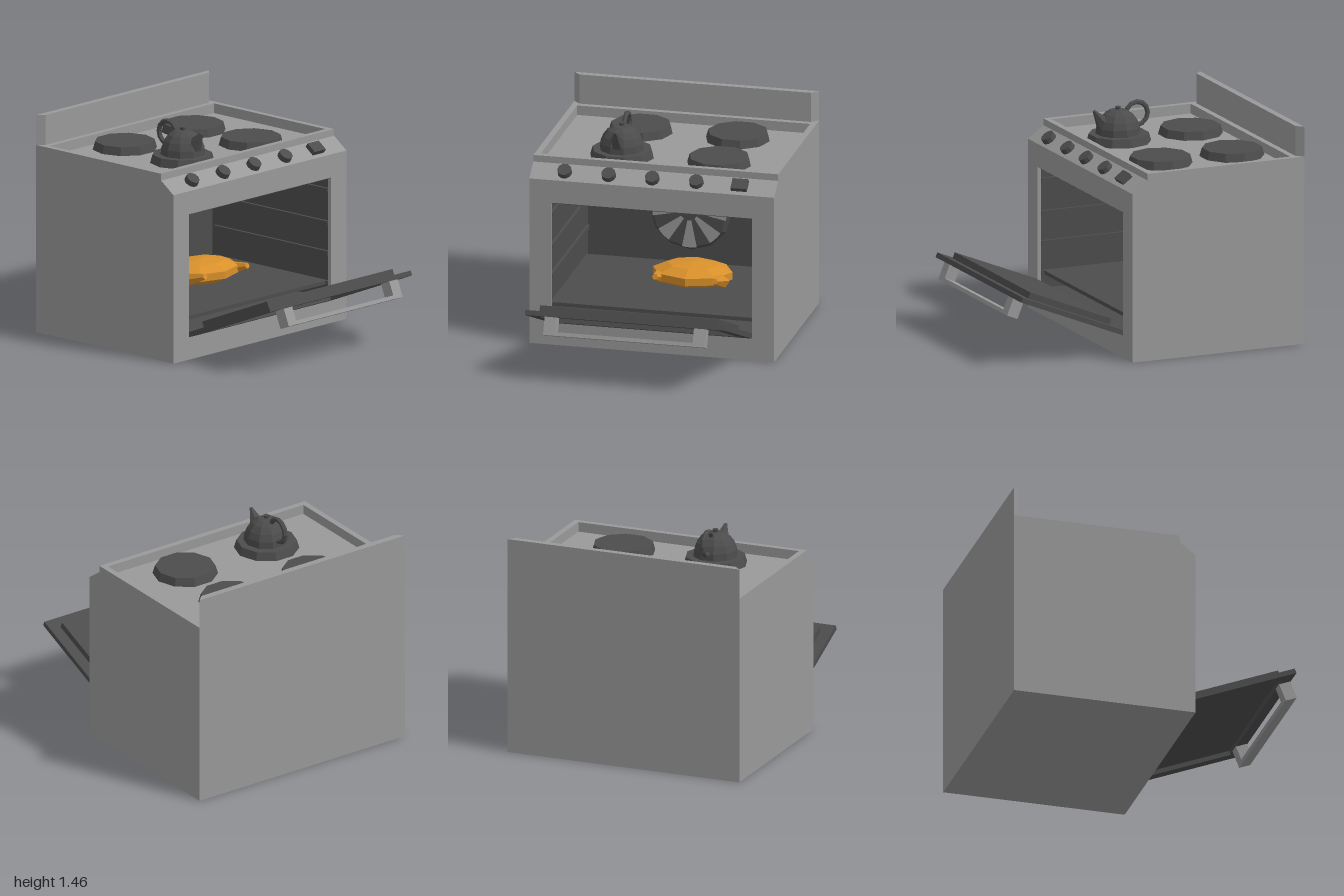
import * as THREE from 'three';

const mat = (color) => new THREE.MeshStandardMaterial({ color });

export function createModel() {
  const root = new THREE.Group();
  const steel = mat(0x999999); steel.name = 'steel grey';
  const dark = mat(0x4c4c4c); dark.name = 'dark grey';
  const roast = mat(0xd9902b); roast.name = 'roast orange';

  // faceted normals for low-poly parts
  const flat = (geo) => {
    const g = geo.index ? geo.toNonIndexed() : geo;
    g.computeVertexNormals();
    return g;
  };
  const add = (name, geo, material, parent = root, pos = [0, 0, 0]) => {
    const m = new THREE.Mesh(geo, material);
    m.name = name;
    m.position.set(...pos);
    parent.add(m);
    return m;
  };
  // box given by its minimum and maximum on each axis
  const box = (name, x0, x1, y0, y1, z0, z1, material, parent = root) =>
    add(name, new THREE.BoxGeometry(x1 - x0, y1 - y0, z1 - z0), material, parent,
      [(x0 + x1) / 2, (y0 + y1) / 2, (z0 + z1) / 2]);
  const toShape = (pts) => new THREE.Shape(pts.map(([x, y]) => new THREE.Vector2(x, y)));
  const extrude = (shape, depth) => new THREE.ExtrudeGeometry(shape, { depth, bevelEnabled: false });
  const rect = (x0, x1, z) => [[x0, -z], [x1, -z], [x1, z], [x0, z]];
  // flat slab in the x-z plane, extruded upwards, with an optional hole
  const slab = (outer, hole, height) => {
    const s = toShape(outer);
    if (hole) s.holes.push(toShape(hole));
    return extrude(s, height).rotateX(-Math.PI / 2);
  };

  // ---- Cabinet: solid sides and a C-shaped middle around the oven cavity
  const front = [[0.23, 1.13], [0.12, 1.21], [0.12, 1.19], [-1, 1.19]];
  const sideShape = toShape([[-1, 0], [0.23, 0], ...front]);
  for (const z of [-0.82, 0.7]) add('cabinetSide', extrude(sideShape, 0.12), steel, root, [0, 0, z]);
  const middle = toShape([[-1, 0], [0.23, 0], [0.23, 0.15], [-0.87, 0.15], [-0.87, 0.975], [0.23, 0.975], ...front]);
  add('cabinetMiddle', extrude(middle, 1.4), steel, root, [0, 0, -0.7]);
  add('cooktopRim', slab(rect(-1, 0.12, 0.82), rect(-0.915, 0.08, 0.78), 0.065), steel, root, [0, 1.19, 0]);
  add('backsplash', slab([[-1, -0.82], [-0.955, -0.775], [-0.955, 0.775], [-1, 0.82]], null, 0.205),
    steel, root, [0, 1.25, 0]);

  // ---- Oven cavity lining, front lips and shelf rails
  box('cavityFloor', -0.86, 0.22, 0.145, 0.155, -0.7, 0.7, dark);
  box('cavityCeiling', -0.86, 0.22, 0.968, 0.978, -0.7, 0.7, dark);
  box('cavityBack', -0.875, -0.85, 0.15, 0.975, -0.7, 0.7, dark);
  for (const s of [-1, 1]) {
    const side = (name, x0, x1, y0, y1, a, b, m) =>
      box(name, x0, x1, y0, y1, Math.min(s * a, s * b), Math.max(s * a, s * b), m);
    side('cavityWall', -0.86, 0.205, 0.15, 0.975, 0.693, 0.705, dark);
    side('openingLip', 0.205, 0.23, 0.15, 0.975, 0.673, 0.705, steel);
    for (const y of [0.26, 0.46, 0.66, 0.88]) side('shelfRail', -0.82, 0.2, y - 0.015, y + 0.015, 0.673, 0.7, dark);
  }
  box('ovenShelf', -0.82, 0.18, 0.25, 0.275, -0.69, 0.69, dark);

  // ---- Convection fan on the back wall
  const fan = new THREE.Group();
  fan.name = 'fan';
  fan.position.set(-0.85, 0.625, 0.005);
  root.add(fan);
  add('fanPlate', flat(new THREE.CylinderGeometry(0.25, 0.275, 0.03, 12).rotateZ(-Math.PI / 2)), dark, fan, [0.015, 0, 0]);
  for (let i = 0; i < 8; i++) {
    const blade = new THREE.RingGeometry(0.06, 0.25, 1, 1, i * Math.PI / 4 - 0.2, 0.4).rotateY(Math.PI / 2);
    add('fanBlade', blade, steel, fan, [0.033, 0, 0]);
  }
  add('fanHub', flat(new THREE.CylinderGeometry(0.06, 0.06, 0.03, 12).rotateZ(-Math.PI / 2)), dark, fan, [0.035, 0, 0]);

  // ---- Roast on the shelf
  const food = new THREE.Group();
  food.name = 'roast';
  food.position.set(-0.4, 0.35, -0.12);
  root.add(food);
  add('roastBody', flat(new THREE.SphereGeometry(1, 8, 5).scale(0.22, 0.08, 0.28)), roast, food);
  for (const s of [-1, 1]) {
    const leg = add('roastLeg', flat(new THREE.CylinderGeometry(0.02, 0.055, 0.2, 6)), roast, food, [0.12, 0, s * 0.2]);
    leg.rotation.z = -1.3;
  }

  // ---- Burners
  for (const x of [-0.695, -0.182]) for (const z of [-0.35, 0.3]) {
    add('burner', flat(new THREE.CylinderGeometry(0.197, 0.213, 0.055, 10)), dark, root, [x, 1.2175, z]);
  }

  // ---- Kettle
  const kettle = new THREE.Group();
  kettle.name = 'kettle';
  kettle.position.set(-0.177, 1.245, 0.3);
  root.add(kettle);
  const profile = [[0, 0], [0.147, 0], [0.143, 0.045], [0.125, 0.09], [0.095, 0.13], [0.055, 0.155], [0, 0.16]];
  add('kettleBody', flat(new THREE.LatheGeometry(profile.map(([r, y]) => new THREE.Vector2(r, y)), 10)), dark, kettle);
  add('lidKnob', flat(new THREE.CylinderGeometry(0.02, 0.014, 0.025, 8)), dark, kettle, [0, 0.165, 0]);
  const spout = add('spout', flat(new THREE.CylinderGeometry(0.01, 0.06, 0.13, 6)), dark, kettle, [0.132, 0.112, 0]);
  spout.rotation.z = -0.65;
  add('kettleHandle', flat(new THREE.TorusGeometry(0.078, 0.017, 6, 12)), dark, kettle, [-0.134, 0.118, 0]);

  // ---- Controls on the sloped panel
  const controls = new THREE.Group();
  controls.name = 'controls';
  controls.position.set(0.175, 1.17, 0);
  controls.rotation.z = -0.628;
  root.add(controls);
  for (const z of [0.595, 0.3, 0.008, -0.287]) {
    add('knob', flat(new THREE.CylinderGeometry(0.046, 0.049, 0.045, 10)), dark, controls, [0, 0.014, z]);
  }
  box('display', -0.04, 0.04, -0.008, 0.032, -0.63, -0.525, dark, controls);

  // ---- Open door: frame, inner panel and U-shaped handle
  const door = new THREE.Group();
  door.name = 'door';
  door.position.set(0.23, 0.15, 0);
  door.rotation.z = 0.385;
  root.add(door);
  add('doorFrame', slab(rect(0, 0.785, 0.672), rect(0.08, 0.705, 0.595), 0.033), dark, door);
  box('doorPanel', 0.08, 0.705, 0.03, 0.075, -0.595, 0.595, dark, door);
  box('doorHandleBar', 0.7, 0.78, -0.12, -0.095, -0.54, 0.54, steel, door);
  for (const z of [-0.5, 0.5]) box('doorHandlePost', 0.7, 0.78, -0.1, 0.002, z - 0.04, z + 0.04, steel, door);

  return root;
}
